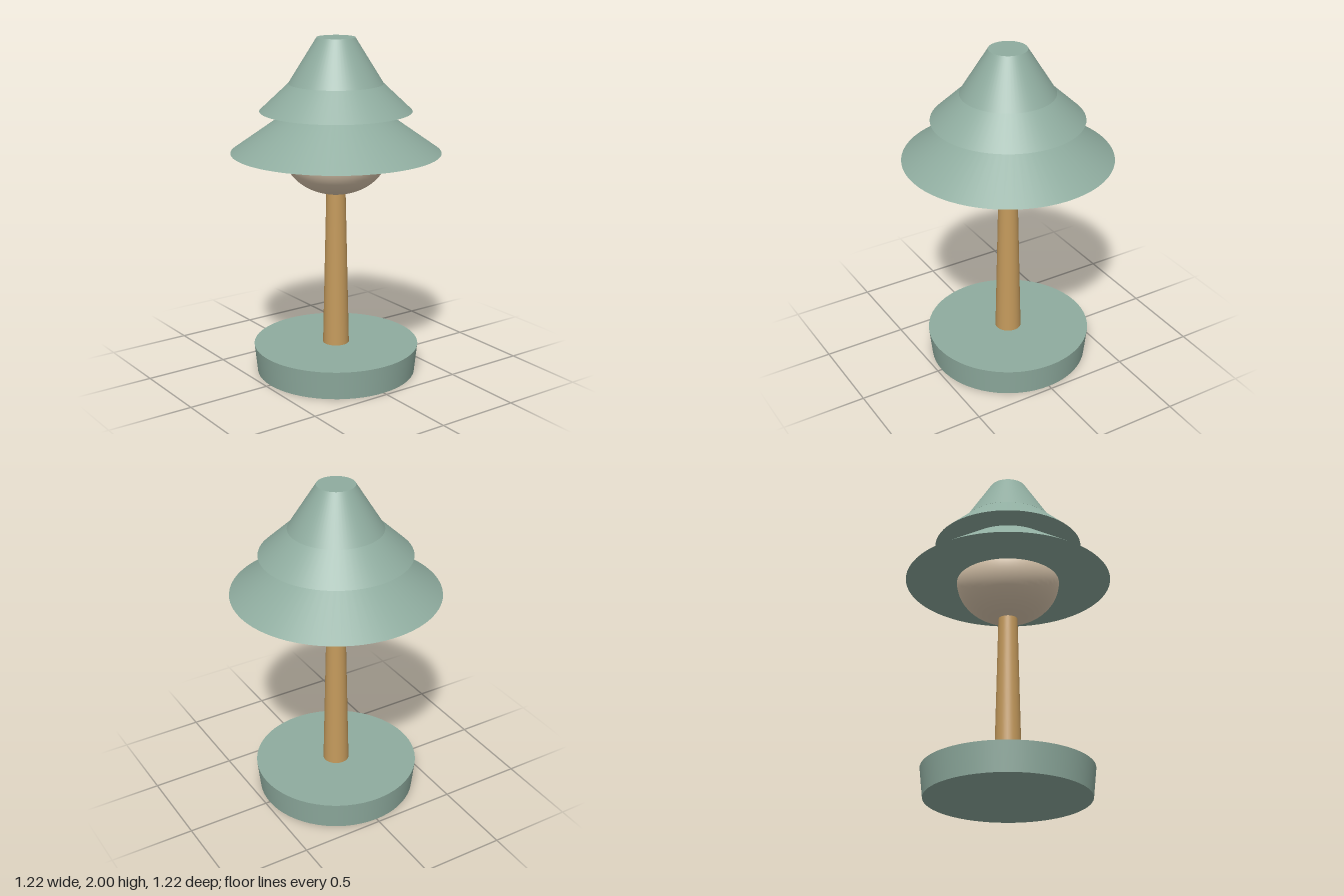
import * as THREE from 'three';

export function createModel() {
  const lamp = new THREE.Group();
  lamp.name = 'tableLamp';

  const mat = (name, color) => {
    const m = new THREE.MeshStandardMaterial({ color });
    m.name = name;
    return m;
  };
  const sage = mat('sageGreen', 0x8fac9f);
  const wood = mat('warmWood', 0xc49a5c);
  const cream = mat('creamGlass', 0xdfcbb1);

  // Closed tapered disc or cone standing between heights y0 and y1
  const frustum = (name, material, y0, r0, y1, r1) => {
    const mesh = new THREE.Mesh(new THREE.CylinderGeometry(r1, r0, y1 - y0, 64), material);
    mesh.name = name;
    mesh.position.y = (y0 + y1) / 2;
    lamp.add(mesh);
  };

  // Base and stem
  frustum('base', sage, 0, 0.473, 0.17, 0.491);
  frustum('stem', wood, 0.17, 0.078, 1.12, 0.056);

  // Flattened globe, its upper half hidden in the shade
  const bulb = new THREE.Mesh(new THREE.SphereGeometry(0.305, 48, 32), cream);
  bulb.name = 'bulb';
  bulb.scale.y = 0.8;
  bulb.position.y = 1.337;
  lamp.add(bulb);

  // Tiered shade
  frustum('lowerShade', sage, 1.34, 0.61, 1.58, 0.27);
  frustum('middleShade', sage, 1.58, 0.44, 1.745, 0.265);
  frustum('upperShade', sage, 1.738, 0.273, 2, 0.11);

  return lamp;
}
